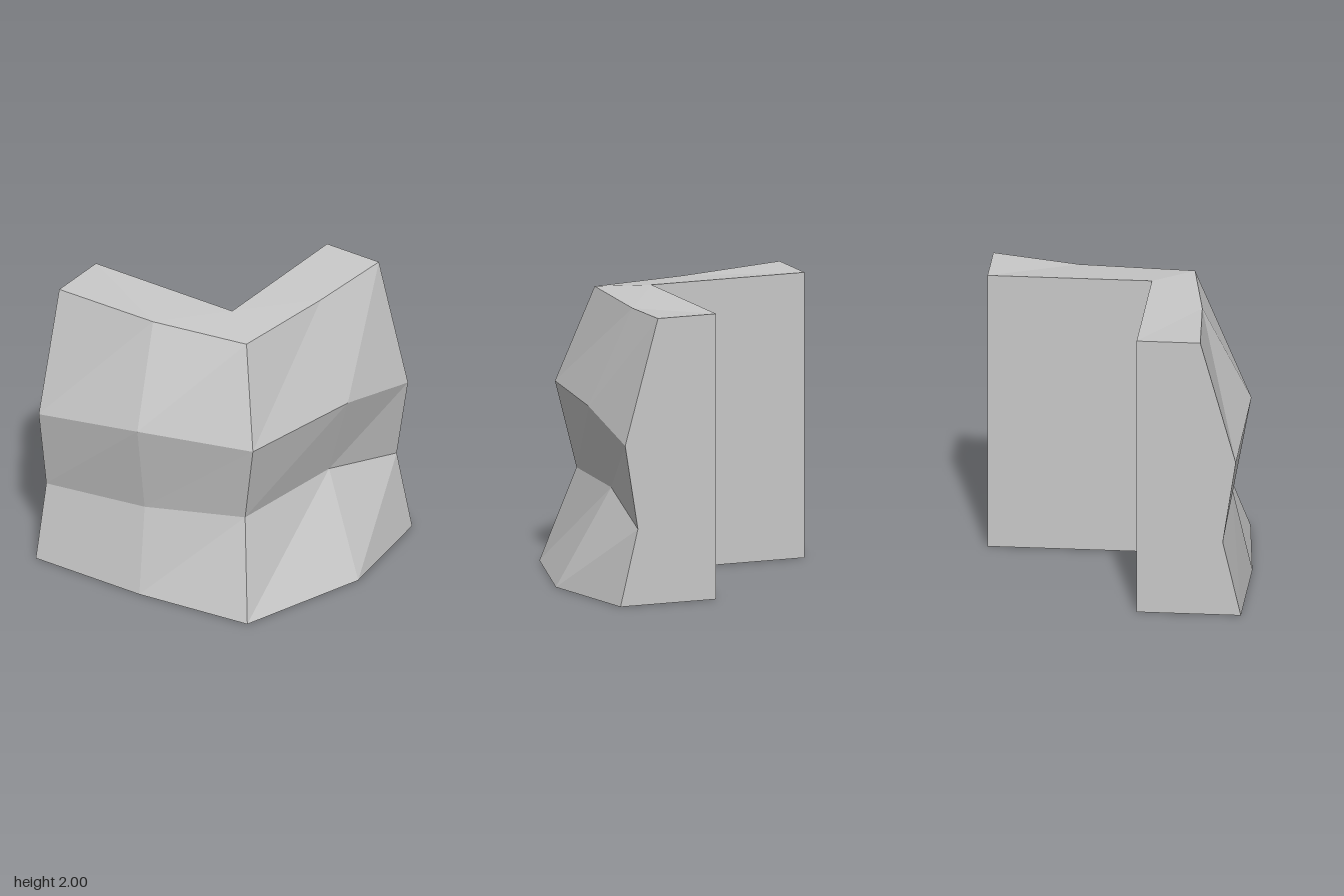
import * as THREE from 'three';

export function createModel() {
  const stone = new THREE.MeshStandardMaterial({ color: 0xc8c8c8 });
  stone.name = 'grey stone';

  // Straight vertical inner columns, with rows at the given heights
  const upright = (x, z, ys) => ys.map((y) => [x, y, z]);
  const rows = [0, 0.535, 1.125, 2];

  // Cross-section columns around the L, each from the ground up
  const columns = [
    [[-1, 0, 0.925], [-1, 0.535, 0.8], [-1, 1.125, 0.89], [-1, 2, 0.645]],            // left end
    [[-0.13, 0, 0.925], [-0.18, 0.615, 0.79], [-0.15, 1.28, 0.92], [-0.25, 1.965, 0.59]],
    [[0.715, 0, 0.835], [0.535, 0.68, 0.605], [0.66, 1.28, 0.69], [0.455, 1.965, 0.475]], // outer corner
    [[0.99, 0, -0.1], [0.64, 0.7, -0.25], [0.805, 1.28, -0.24], [0.515, 1.96, -0.33]],
    [[0.86, 0, -0.93], [0.73, 0.535, -0.93], [0.825, 1.125, -0.93], [0.58, 2, -0.93]], // rear end
    upright(0.145, -0.93, rows),
    upright(0.145, 0.205, rows), // inner corner
    upright(-1, 0.205, rows),
  ];

  // Caps as triangles of column numbers, counter-clockwise from above
  const cap = [[7, 0, 1], [7, 1, 6], [6, 1, 2], [6, 2, 3], [6, 3, 5], [5, 3, 4]];

  const addMesh = (group, name, triangles) => {
    const geometry = new THREE.BufferGeometry();
    geometry.setAttribute('position', new THREE.Float32BufferAttribute(triangles.flat(2), 3));
    geometry.computeVertexNormals();
    const mesh = new THREE.Mesh(geometry, stone);
    mesh.name = name;
    group.add(mesh);
  };

  // Faceted walls between neighbouring columns
  const strip = (from, to) => {
    const tris = [];
    for (let i = from; i < to; i++) {
      const a = columns[i];
      const b = columns[(i + 1) % columns.length];
      for (let j = 0; j < 3; j++) {
        tris.push([a[j], b[j], b[j + 1]], [a[j], b[j + 1], a[j + 1]]);
      }
    }
    return tris;
  };

  const group = new THREE.Group();
  group.name = 'rockWallCorner';
  addMesh(group, 'outerRockFace', strip(0, 4));
  addMesh(group, 'rearEndFace', strip(4, 5));
  addMesh(group, 'innerWalls', strip(5, 7));
  addMesh(group, 'leftEndFace', strip(7, 8));
  addMesh(group, 'topFace', cap.map((t) => t.map((i) => columns[i][3])));
  addMesh(group, 'bottomFace', cap.map(([a, b, c]) => [a, c, b].map((i) => columns[i][0])));
  return group;
}
